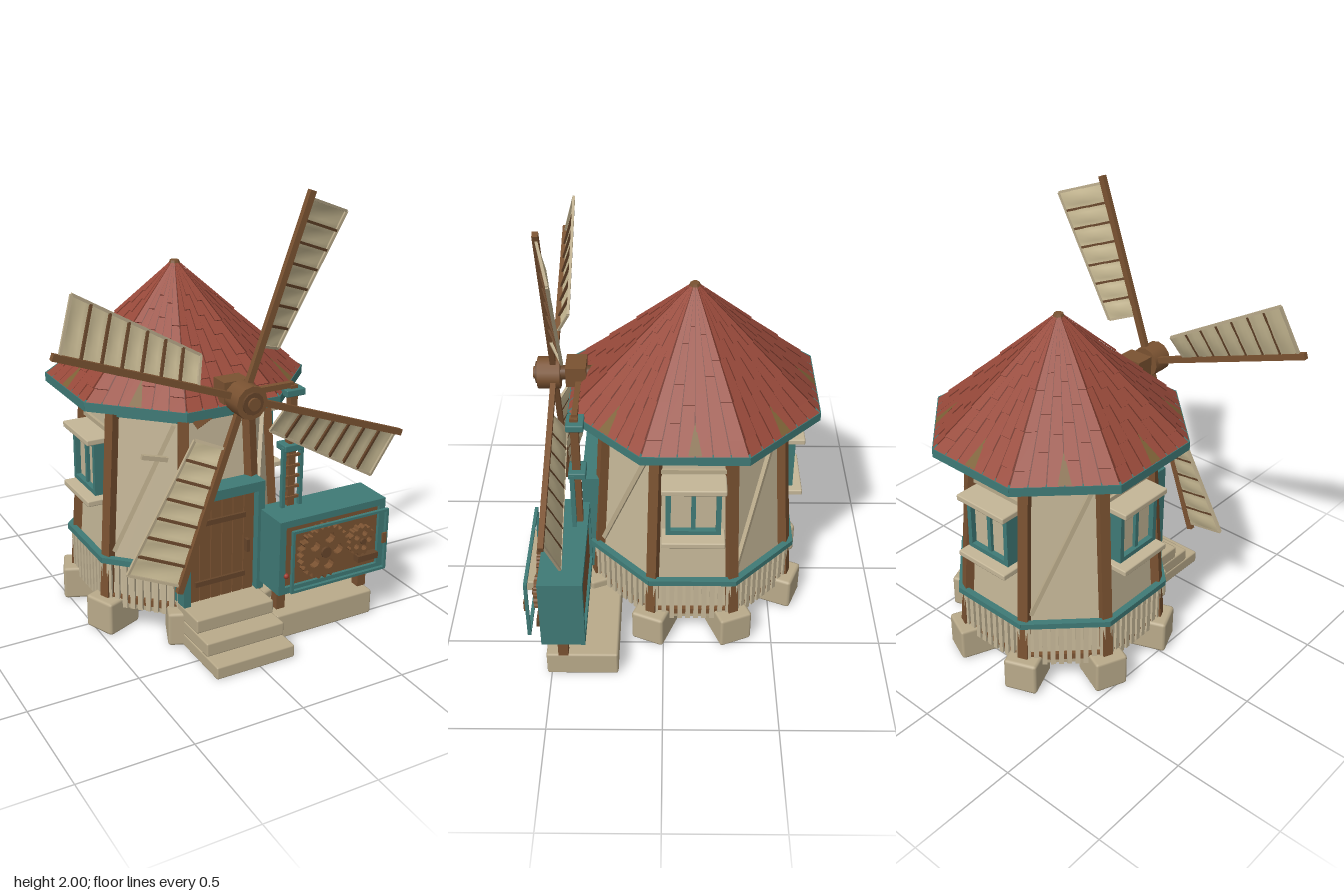
import * as THREE from 'three';
import { RoundedBoxGeometry } from 'three/addons/geometries/RoundedBoxGeometry.js';

const mat = (name, color, double) => {
  const m = new THREE.MeshStandardMaterial({ color, side: double ? THREE.DoubleSide : THREE.FrontSide });
  m.name = name;
  return m;
};
const M = {
  plaster: mat('plaster', 0xc4b697), stone: mat('stone', 0xb9aa8a), timber: mat('timber', 0x7a5231),
  darkWood: mat('darkWood', 0x66452a), teal: mat('teal', 0x3f7a76), tile: mat('roofTile', 0x97493a),
  under: mat('roofUnder', 0x6e3327), olive: mat('olive', 0x7c6136), cloth: mat('sailCloth', 0xc6b892, true),
  red: mat('redKnob', 0x9c3a2c),
};
const lerp = THREE.MathUtils.lerp;
const TAN = Math.tan(Math.PI / 8);

function add(parent, name, geo, m, x = 0, y = 0, z = 0) {
  const mesh = new THREE.Mesh(geo, m);
  mesh.name = name;
  mesh.position.set(x, y, z);
  parent.add(mesh);
  return mesh;
}
const group = (parent, name, x = 0, y = 0, z = 0) => {
  const g = new THREE.Group();
  g.name = name;
  g.position.set(x, y, z);
  parent.add(g);
  return g;
};
// box given by its minimum and maximum corners
function span(parent, name, m, x0, x1, y0, y1, z0, z1, r = 0) {
  const s = [x1 - x0, y1 - y0, z1 - z0];
  const geo = r ? new RoundedBoxGeometry(...s, 1, r) : new THREE.BoxGeometry(...s);
  return add(parent, name, geo, m, (x0 + x1) / 2, (y0 + y1) / 2, (z0 + z1) / 2);
}
// square beam between two points
function beam(parent, name, m, a, b, w, h = w) {
  const p = new THREE.Vector3(...a), q = new THREE.Vector3(...b);
  const mesh = add(parent, name, new THREE.BoxGeometry(w, h, p.distanceTo(q)), m);
  mesh.position.copy(p).add(q).multiplyScalar(0.5);
  mesh.quaternion.setFromRotationMatrix(new THREE.Matrix4().lookAt(q, p, new THREE.Vector3(0, 1, 0.001)));
  return mesh;
}
function octagon(parent, name, m, rTop, rBot, y0, y1) {
  const geo = new THREE.CylinderGeometry(rTop, rBot, y1 - y0, 8).toNonIndexed();
  geo.computeVertexNormals();
  add(parent, name, geo, m, 0, (y0 + y1) / 2, 0).rotation.y = Math.PI / 8;
}
// disc or drum with its axis along z
function drum(parent, name, m, r, x, y, z0, z1, n = 16) {
  add(parent, name, new THREE.CylinderGeometry(r, r, z1 - z0, n), m, x, y, (z0 + z1) / 2).rotation.x = Math.PI / 2;
}
// rectangular frame in the xy plane
function frame(parent, name, m, x0, x1, y0, y1, z0, z1, w) {
  span(parent, name, m, x0, x0 + w, y0, y1, z0, z1);
  span(parent, name, m, x1 - w, x1, y0, y1, z0, z1);
  span(parent, name, m, x0 + w, x1 - w, y0, y0 + w, z0, z1);
  span(parent, name, m, x0 + w, x1 - w, y1 - w, y1, z0, z1);
}

// point on a roof face: t up the slope, u across it, raised by h
function roofPoint(t, u, h) {
  const a = lerp(0.535, 0.015, t);
  return [u * a * TAN, lerp(1.11, 1.615, t) + h * 0.72, a + h * 0.69];
}
function roofTiles() {
  const pos = [], planks = 6;
  const quad = (a, b, c, d) => pos.push(...a, ...b, ...c, ...a, ...c, ...d);
  for (let i = 0; i < planks; i++) {
    const u0 = -1 + (2 * i) / planks + 0.012, u1 = -1 + (2 * (i + 1)) / planks - 0.012;
    const off = ((i * 2) % 5) * 0.05;
    const cuts = [0, 0.1 + off, 0.32 + off, 0.56 + off, 1];
    for (let k = 0; k < 4; k++) {
      const [t0, t1] = [cuts[k], cuts[k + 1]];
      const a = roofPoint(t0, u0, 0.01), b = roofPoint(t0, u1, 0.01);
      quad(a, b, roofPoint(t1, u1, 0.004), roofPoint(t1, u0, 0.004));
      quad(roofPoint(t0, u0, 0), roofPoint(t0, u1, 0), b, a);
    }
  }
  return triangles(pos);
}
function triangles(pos) {
  const geo = new THREE.BufferGeometry();
  geo.setAttribute('position', new THREE.Float32BufferAttribute(pos, 3));
  geo.computeVertexNormals();
  return geo;
}
function gear(parent, name, r, teeth, x, y, z, depth) {
  const s = new THREE.Shape();
  for (let i = 0; i < teeth * 4; i++) {
    const a = (i / (teeth * 4)) * Math.PI * 2, q = i % 4 < 2 ? r : r * 0.88;
    s[i ? 'lineTo' : 'moveTo'](Math.cos(a) * q, Math.sin(a) * q);
  }
  for (let i = 0; i < 5; i++) {
    const a = (i / 5) * Math.PI * 2;
    s.holes.push(new THREE.Path().absarc(Math.cos(a) * r * 0.52, Math.sin(a) * r * 0.52, r * 0.2, 0, Math.PI * 2, true));
  }
  add(parent, name, new THREE.ExtrudeGeometry(s, { depth, bevelEnabled: false, curveSegments: 6 }), M.timber, x, y, z);
  drum(parent, name + 'Axle', M.darkWood, r * 0.2, x, y, z, z + depth + 0.012, 10);
}

function buildTower(root) {
  const tower = group(root, 'tower', 0, 0, -0.13);
  octagon(tower, 'walls', M.plaster, 0.405, 0.47, 0.13, 1.1);
  octagon(tower, 'floorPlate', M.stone, 0.475, 0.475, 0.11, 0.14);
  octagon(tower, 'baseRing', M.timber, 0.49, 0.49, 0.14, 0.17);
  octagon(tower, 'topBand', M.teal, 0.425, 0.425, 1.01, 1.04);
  octagon(tower, 'soffit', M.darkWood, 0.56, 0.56, 1.09, 1.108);
  octagon(tower, 'roofBase', M.under, 0.016, 0.577, 1.108, 1.615);
  octagon(tower, 'roofCap', M.timber, 0.02, 0.028, 1.605, 1.625);
  const tiles = roofTiles();
  const spike = triangles([...roofPoint(0.01, -0.13, 0.012), ...roofPoint(0.01, 0.13, 0.012), ...roofPoint(0.2, 0, 0.009)]);
  for (let i = 0; i < 8; i++) {
    const face = group(tower, 'towerSide');
    face.rotation.y = (i * Math.PI) / 4;
    add(face, 'roofTiles', tiles, M.tile);
    add(face, 'roofSpike', spike, M.olive);
    span(face, 'eaveTrim', M.teal, -0.225, 0.225, 1.08, 1.12, 0.515, 0.542);
    if (i > 0) {
      span(face, 'railing', M.teal, -0.195, 0.195, 0.335, 0.362, 0.443, 0.473);
      for (let k = 0; k < 10; k++) {
        const x = -0.165 + k * 0.0367;
        span(face, 'picket', M.plaster, x - 0.011, x + 0.011, 0.12, 0.34, 0.445, 0.462);
      }
    }
    if (i % 2) beam(face, 'brace', M.stone, [-0.15, 0.38, 0.423], [0.12, 1.0, 0.385], 0.025, 0.02);
    else if (i) buildWindow(face);
    // corner post and foundation stone
    const corner = group(tower, 'corner');
    corner.rotation.y = ((i + 0.5) * Math.PI) / 4;
    beam(corner, 'post', M.timber, [0, 0.13, 0.483], [0, 1.09, 0.415], 0.046, 0.04);
    span(corner, 'foundationStone', M.stone, -0.078, 0.078, 0, 0.16, 0.35, 0.54, 0.014);
  }
}
function buildWindow(face) {
  const w = group(face, 'window');
  span(w, 'pane', M.plaster, -0.1, 0.1, 0.64, 0.87, 0.38, 0.435);
  frame(w, 'windowFrame', M.teal, -0.12, 0.12, 0.63, 0.88, 0.38, 0.46, 0.022);
  span(w, 'mullion', M.teal, -0.01, 0.01, 0.65, 0.86, 0.43, 0.45);
  span(w, 'sill', M.plaster, -0.14, 0.14, 0.59, 0.618, 0.38, 0.505, 0.006);
  span(w, 'lintel', M.plaster, -0.14, 0.14, 0.88, 0.908, 0.37, 0.5, 0.006);
  beam(w, 'crossBeam', M.stone, [-0.16, 0.93, 0.387], [0.16, 0.93, 0.387], 0.02);
}

function buildEntrance(root) {
  const e = group(root, 'entrance');
  span(e, 'lowStep', M.stone, -0.215, 0.172, 0, 0.06, 0.3, 0.67, 0.008);
  span(e, 'middleStep', M.stone, -0.215, 0.172, 0.06, 0.125, 0.3, 0.58, 0.008);
  span(e, 'topStep', M.stone, -0.215, 0.172, 0.125, 0.19, 0.28, 0.49, 0.008);
  span(e, 'doorPostLeft', M.teal, 0.155, 0.188, 0.19, 0.72, 0.28, 0.37);
  span(e, 'doorPostRight', M.teal, -0.215, -0.182, 0.19, 0.72, 0.28, 0.37);
  span(e, 'doorHead', M.teal, -0.182, 0.155, 0.675, 0.72, 0.27, 0.37);
  span(e, 'doorBacking', M.darkWood, -0.182, 0.155, 0.19, 0.675, 0.28, 0.33);
  for (let i = 0; i < 6; i++) {
    const x = -0.178 + i * 0.055;
    span(e, 'doorPlank', M.timber, x, x + 0.05, 0.192, 0.672, 0.32, 0.345);
  }
  for (const y of [0.28, 0.57]) span(e, 'doorStrap', M.darkWood, -0.15, 0.1, y - 0.012, y + 0.012, 0.345, 0.357);
  span(e, 'doorHandle', M.darkWood, 0.1, 0.115, 0.39, 0.45, 0.345, 0.37);
  beam(e, 'wallPeg', M.stone, [-0.38, 0.92, 0.305], [-0.27, 0.895, 0.325], 0.02);
}

function buildMachine(root) {
  const g = group(root, 'gearMachine');
  span(g, 'platform', M.stone, 0.172, 0.69, 0, 0.12, 0.2, 0.52, 0.01);
  for (const x of [0.225, 0.67]) span(g, 'leg', M.timber, x - 0.022, x + 0.022, 0.12, 0.24, 0.42, 0.465);
  frame(g, 'gearBox', M.teal, 0.17, 0.73, 0.23, 0.585, 0.338, 0.53, 0.032);
  span(g, 'gearPanel', M.timber, 0.2, 0.7, 0.26, 0.555, 0.35, 0.515);
  gear(g, 'largeGear', 0.13, 24, 0.39, 0.41, 0.525, 0.035);
  gear(g, 'smallGear', 0.072, 14, 0.59, 0.415, 0.525, 0.035);
  frame(g, 'guardFrame', M.teal, 0.198, 0.705, 0.262, 0.562, 0.575, 0.59, 0.012);
  span(g, 'crank', M.darkWood, 0.58, 0.69, 0.3, 0.33, 0.515, 0.55);
  span(g, 'latch', M.timber, 0.672, 0.694, 0.4, 0.45, 0.59, 0.598);
  add(g, 'knob', new THREE.SphereGeometry(0.013, 10, 8), M.red, 0.207, 0.32, 0.53);

  // drive pole, ladder chain and cross shaft
  span(g, 'drivePole', M.timber, 0.29, 0.325, 0.58, 1.15, 0.36, 0.395);
  for (const y of [0.865, 1.12]) span(g, 'poleCollar', M.teal, 0.26, 0.355, y - 0.016, y + 0.016, 0.335, 0.412, 0.005);
  for (const x of [0.262, 0.352]) span(g, 'ladderRail', M.teal, x - 0.008, x + 0.008, 0.52, 0.87, 0.385, 0.405);
  for (let i = 0; i < 5; i++) span(g, 'ladderRung', M.timber, 0.262, 0.352, 0.62 + i * 0.05, 0.632 + i * 0.05, 0.388, 0.402);
  beam(g, 'crossShaft', M.timber, [0, 1.15, 0.375], [0.31, 1.15, 0.375], 0.025);
}

function buildSails(root) {
  const axle = group(root, 'axle');
  span(axle, 'axleHousing', M.timber, -0.06, 0.06, 1.135, 1.23, 0.34, 0.43);
  drum(axle, 'axleShaft', M.darkWood, 0.032, 0, 1.172, 0.1, 0.48);
  for (const s of [-1, 1]) beam(axle, 'strut', M.timber, [s * 0.02, 1.13, 0.39], [s * 0.1, 1.0, 0.27], 0.035);

  const sails = group(root, 'sails', 0, 1.172, 0.485);
  drum(sails, 'hub', M.timber, 0.072, 0, 0, -0.03, 0.07, 12);
  drum(sails, 'hubRing', M.darkWood, 0.048, 0, 0, 0.07, 0.08, 12);
  drum(sails, 'hubCap', M.timber, 0.028, 0, 0, 0.08, 0.09, 12);
  const y0 = 0.225, y1 = 0.845, bays = 7;
  const at = (t, u) => [u * lerp(0.125, 0.235, t), lerp(y0, y1, t), -0.058 * u];
  // cloth billows backwards in each bay
  const cloth = new THREE.PlaneGeometry(1, 1, 4, bays * 4);
  const p = cloth.attributes.position;
  for (let i = 0; i < p.count; i++) {
    const u = p.getX(i) + 0.5, t = p.getY(i) + 0.5, [x, y, z] = at(t, u);
    p.setXYZ(i, x, y, z - 0.004 - 0.012 * Math.sin(Math.PI * u) * Math.abs(Math.sin(Math.PI * t * bays)));
  }
  cloth.computeVertexNormals();
  for (let i = 0; i < 4; i++) {
    const arm = group(sails, 'sail');
    arm.rotation.z = THREE.MathUtils.degToRad(-20) + (i * Math.PI) / 2;
    span(arm, 'arm', M.timber, -0.014, 0.014, 0, 0.876, -0.012, 0.012);
    add(arm, 'cloth', cloth, M.cloth);
    beam(arm, 'outerEdge', M.stone, at(0, 1), at(1, 1), 0.012);
    for (let k = 0; k <= bays; k++) {
      const end = k === 0 || k === bays;
      beam(arm, 'sailBar', end ? M.stone : M.darkWood, at(k / bays, 0), at(k / bays, 1), 0.011);
    }
  }
}

export function createModel() {
  const root = new THREE.Group();
  root.name = 'windmill';
  buildTower(root);
  buildEntrance(root);
  buildMachine(root);
  buildSails(root);
  return root;
}
